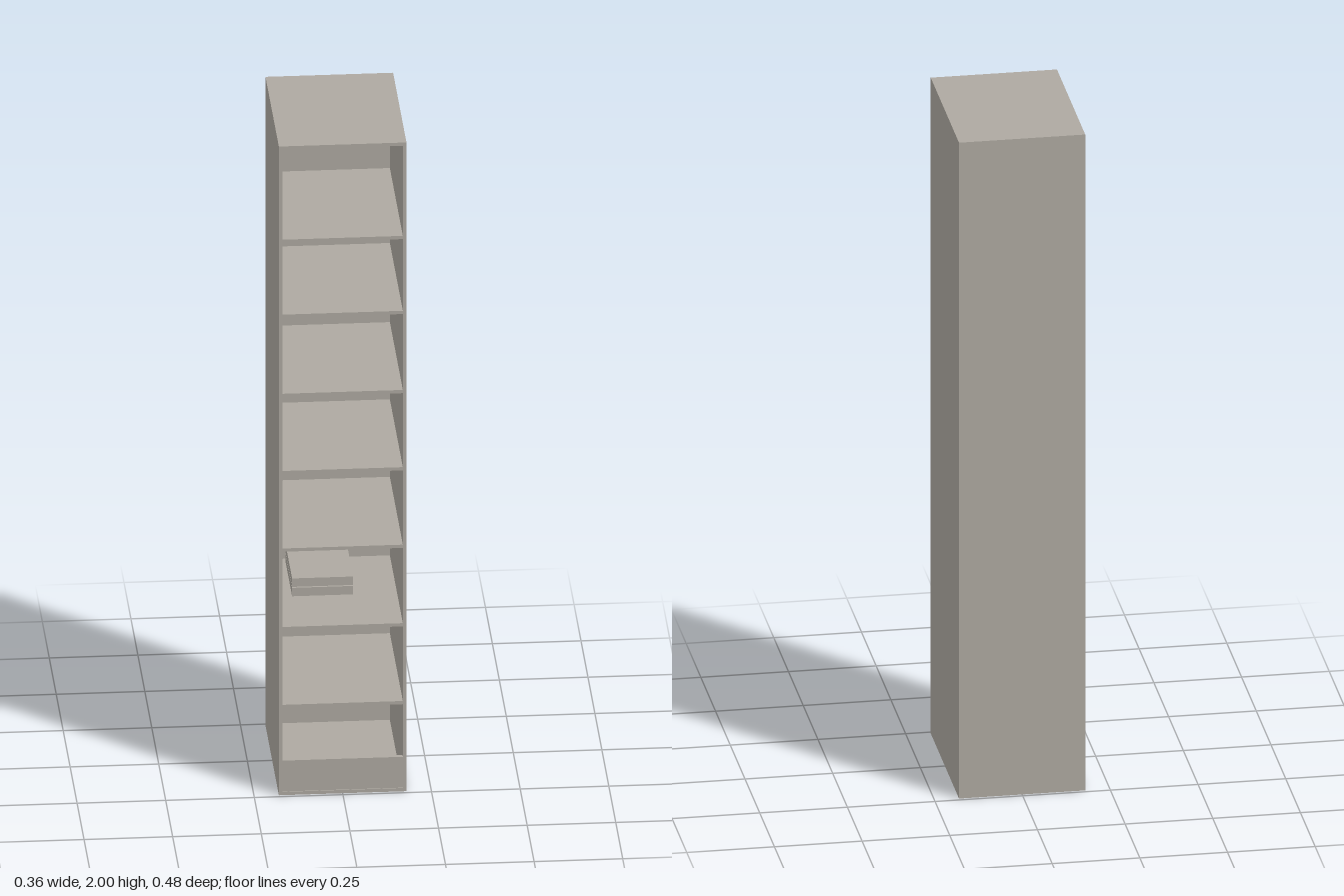
import * as THREE from 'three';

export function createModel() {
  const model = new THREE.Group();
  model.name = 'tallCabinet';
  const paint = new THREE.MeshStandardMaterial({ color: 0xaea9a1 });
  paint.name = 'warm grey';

  // Box given by its extents on each axis
  const board = (name, [x0, x1], [y0, y1], [z0, z1]) => {
    const mesh = new THREE.Mesh(new THREE.BoxGeometry(x1 - x0, y1 - y0, z1 - z0), paint);
    mesh.position.set((x0 + x1) / 2, (y0 + y1) / 2, (z0 + z1) / 2);
    mesh.name = name;
    model.add(mesh);
  };

  const W = 0.18, H = 2, D = 0.24, T = 0.01;
  const inner = [-W + T, W - T];

  // Carcass
  board('rightSide', [-W, -W + T], [0, H], [-D, D]);
  board('leftSide', [W - T, W], [0, H], [-D, D]);
  board('topPanel', inner, [H - T, H], [-D, D]);
  board('floorPanel', inner, [0, T], [-D, D]);
  board('backPanel', inner, [T, H - T], [-D, -D + T]);

  // Low front board across the foot of the opening
  board('kickBoard', inner, [T, 0.105], [D - 0.015, D - 0.003]);

  // Shelves, given by the height of their upper face
  [0.277, 0.517, 0.759, 0.998, 1.236, 1.48, 1.711].forEach((y, i) =>
    board(`shelf${i + 1}`, inner, [y - T, y], [-D + T, D - 0.003]));

  // Two flat boxes, one above the other
  board('lowerFlatBox', [-0.13, 0.042], [0.54, 0.566], [-0.16, 0.08]);
  board('upperFlatBox', [-0.13, 0.042], [0.569, 0.595], [-0.16, 0.08]);

  return model;
}
